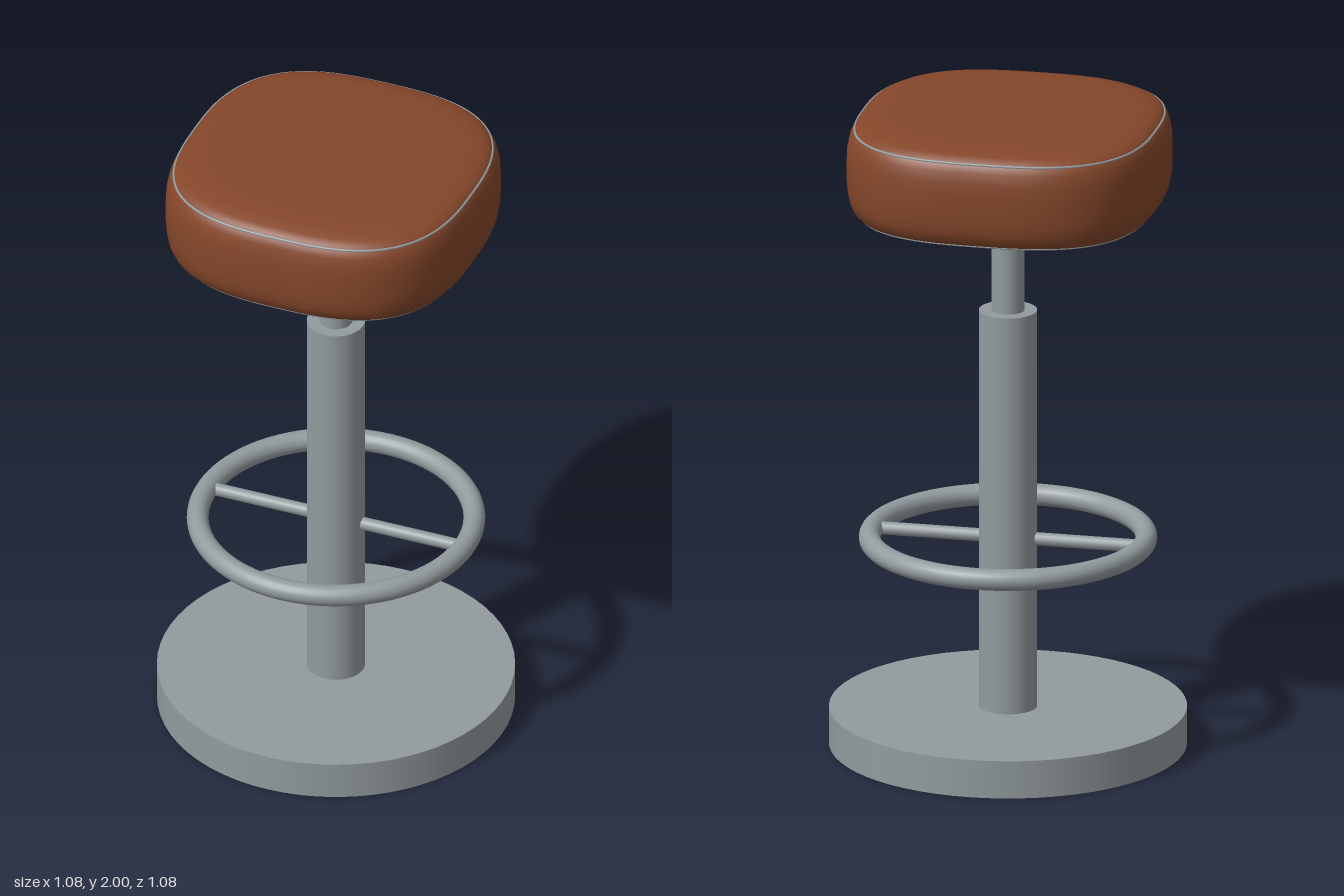
import * as THREE from 'three';

const paint = (name, color) => {
  const material = new THREE.MeshStandardMaterial({ color });
  material.name = name;
  return material;
};
const leather = paint('brown leather', 0x85472a);
const metal = paint('grey metal', 0x929b9e);
const rubber = paint('black rubber', 0x2b2b2b);

const SEAT_Z = 0.022; // the cushion sits slightly forward

// Point on the rounded-square cushion outline, inset from its widest edge
function outline(t, y, inset) {
  const round = (v) => Math.sign(v) * Math.pow(Math.abs(v), 2 / 2.8);
  return new THREE.Vector3(
    (0.475 - inset) * round(Math.cos(t)), y,
    SEAT_Z + (0.467 - inset) * round(Math.sin(t)));
}

// Cushion skin: stacked outlines, closed to a point at top and bottom
function cushionGeometry() {
  const rings = [
    [2, 0.46], [2, 0.3], [2, 0.16], [1.997, 0.09], [1.988, 0.05], [1.978, 0.031], [1.965, 0.019],
    [1.945, 0.009], [1.91, 0.002], [1.87, 0], [1.82, 0], [1.78, 0.003], [1.75, 0.008],
    [1.725, 0.018], [1.71, 0.032], [1.7, 0.05], [1.692, 0.085], [1.687, 0.15], [1.685, 0.3], [1.685, 0.46],
  ];
  const n = 96, pos = [], index = [];
  for (const [y, inset] of rings) {
    for (let i = 0; i < n; i++) pos.push(...outline((i / n) * Math.PI * 2, y, inset).toArray());
  }
  for (let r = 0; r < rings.length - 1; r++) {
    for (let i = 0; i < n; i++) {
      const j = (i + 1) % n, a = r * n + i, b = r * n + j, c = a + n, d = b + n;
      index.push(a, b, c, b, d, c);
    }
  }
  // End caps
  const top = pos.length / 3, bottom = top + 1, last = (rings.length - 1) * n;
  pos.push(0, 2, SEAT_Z, 0, 1.685, SEAT_Z);
  for (let i = 0; i < n; i++) {
    const j = (i + 1) % n;
    index.push(top, j, i, bottom, last + i, last + j);
  }
  const g = new THREE.BufferGeometry();
  g.setAttribute('position', new THREE.Float32BufferAttribute(pos, 3));
  g.setIndex(index);
  g.computeVertexNormals();
  return g;
}

// Thin piping that follows the cushion outline
function pipingGeometry(y, inset) {
  const pts = [];
  for (let i = 0; i < 96; i++) pts.push(outline((i / 96) * Math.PI * 2, y, inset));
  return new THREE.TubeGeometry(new THREE.CatmullRomCurve3(pts, true), 192, 0.004, 8, true);
}

export function createModel() {
  const model = new THREE.Group();
  model.name = 'barStool';
  const add = (name, geometry, material) => {
    const mesh = new THREE.Mesh(geometry, material);
    mesh.name = name;
    model.add(mesh);
    return mesh;
  };
  const column = (name, radius, y0, y1, material = metal) => {
    add(name, new THREE.CylinderGeometry(radius, radius, y1 - y0, 64), material).position.y = (y0 + y1) / 2;
  };
  const rod = (name, from, to, radius) => {
    const path = new THREE.LineCurve3(new THREE.Vector3(...from), new THREE.Vector3(...to));
    add(name, new THREE.TubeGeometry(path, 1, radius, 16), metal);
  };

  // Floor pad, base and telescopic column
  column('floorPad', 0.525, 0, 0.004, rubber);
  column('base', 0.54, 0.002, 0.12);
  column('lowerPost', 0.088, 0.12, 1.376);
  column('upperPost', 0.05, 1.376, 1.7);

  // Footrest ring with a spoke on each side
  const ring = add('footRing', new THREE.TorusGeometry(0.417, 0.033, 20, 96), metal);
  ring.rotation.x = Math.PI / 2;
  ring.position.y = 0.655;
  for (const s of [-1, 1]) {
    rod(s > 0 ? 'leftSpoke' : 'rightSpoke', [0.07 * s, 0.655, 0], [0.417 * s, 0.655, 0], 0.02);
  }

  // Seat with piping sunk into both seams
  add('seatCushion', cushionGeometry(), leather);
  add('topPiping', pipingGeometry(1.969, 0.0235), metal);
  add('bottomPiping', pipingGeometry(1.706, 0.04), metal);

  // Height lever emerging from under the seat, with a rounded tip
  rod('heightLever', [0.07, 1.691, 0.012], [0.395, 1.689, 0.125], 0.01);
  add('leverTip', new THREE.SphereGeometry(0.01, 16, 12), metal).position.set(0.395, 1.689, 0.125);

  return model;
}
